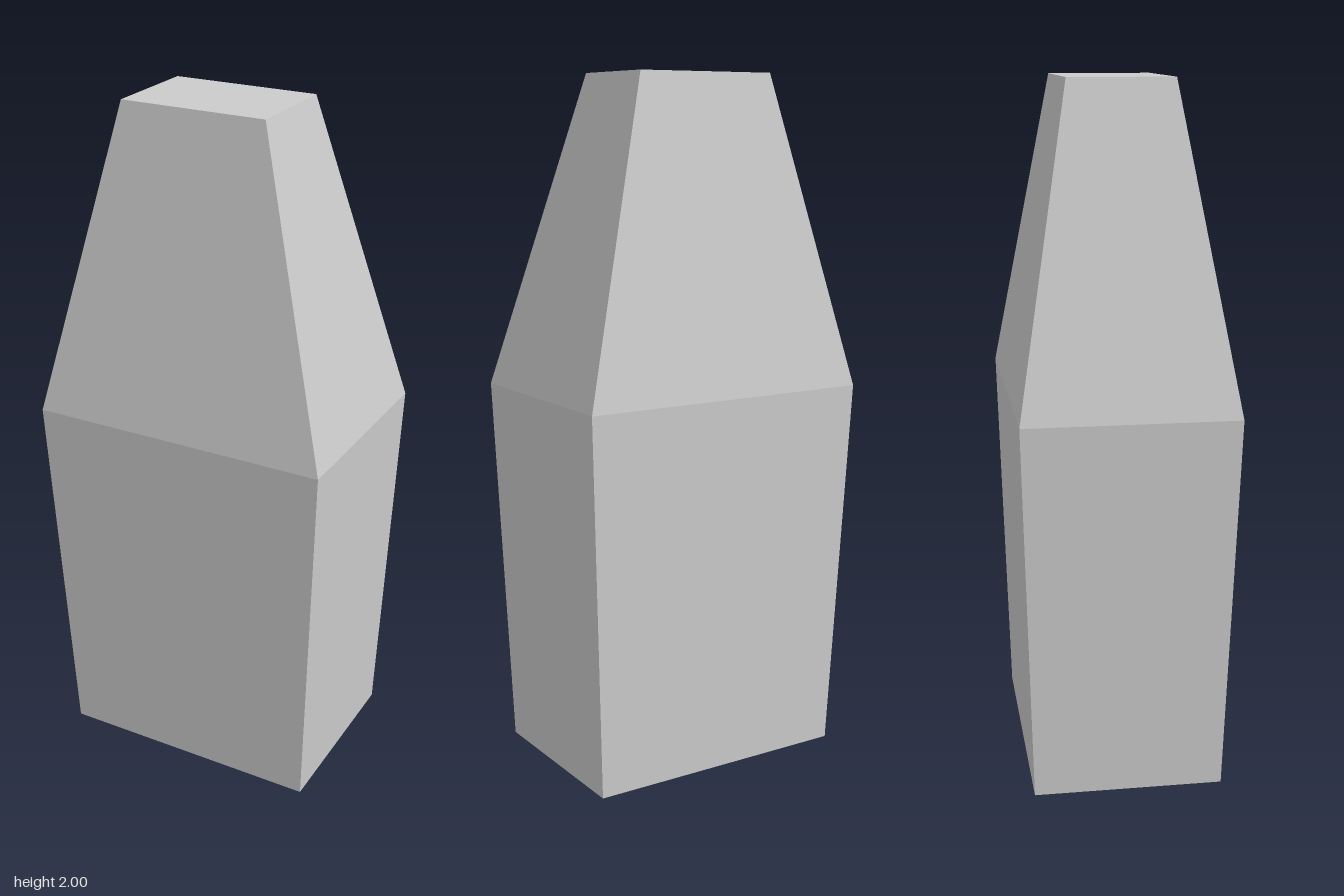
import * as THREE from 'three';

// Rectangular cross-sections, bottom to top
const sections = [
  { y: 0, x: [-0.39, 0.402], z: [-0.272, 0.272] },
  { y: 1.103, x: [-0.442, 0.442], z: [-0.304, 0.304] },
  { y: 2, x: [-0.237, 0.194], z: [-0.15, 0.148] },
];

// Corners of a section, counter-clockwise seen from above
const ring = ({ y, x, z }) => [
  [x[0], y, z[1]], [x[1], y, z[1]], [x[1], y, z[0]], [x[0], y, z[0]],
];

function quadGeometry(quads) {
  const positions = quads.flatMap(([a, b, c, d]) => [a, b, c, a, c, d].flat());
  const geometry = new THREE.BufferGeometry();
  geometry.setAttribute('position', new THREE.Float32BufferAttribute(positions, 3));
  geometry.computeVertexNormals();
  return geometry;
}

export function createModel() {
  const group = new THREE.Group();
  group.name = 'taperedBlock';
  const material = new THREE.MeshStandardMaterial({
    color: 0xcccccc, flatShading: true, side: THREE.DoubleSide,
  });
  const rings = sections.map(ring);

  const addPart = (name, quads) => {
    const mesh = new THREE.Mesh(quadGeometry(quads), material);
    mesh.name = name;
    group.add(mesh);
  };

  // Four side faces between two neighbouring sections
  const band = (low, high) => low.map((p, i) => {
    const j = (i + 1) % 4;
    return [p, low[j], high[j], high[i]];
  });

  // Lower walls, open at the base
  addPart('lowerBody', band(rings[0], rings[1]));
  // Tapered upper walls with a flat cap
  addPart('upperTaper', band(rings[1], rings[2]));
  addPart('topCap', [rings[2]]);

  return group;
}
